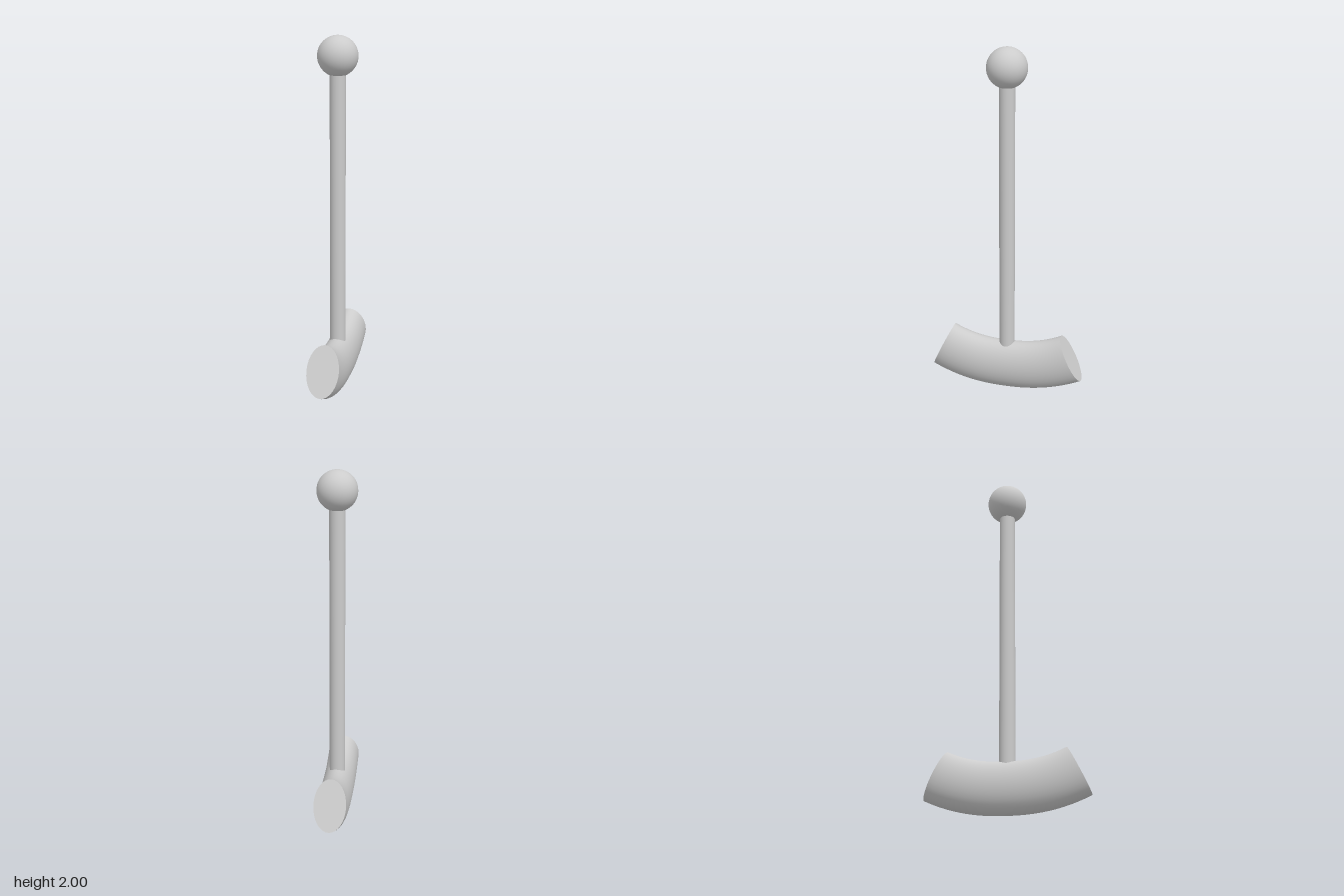
import * as THREE from 'three';
import { toCreasedNormals } from 'three/addons/utils/BufferGeometryUtils.js';

const HALF = 0.38, RISE = 0.08, POWER = 2.3; // shape of the head's centre line

// Oval bar along z whose cross-sections follow an upward-curving centre line
function curvedHead() {
  const geo = new THREE.CylinderGeometry(1, 1, 2, 32, 24).rotateX(Math.PI / 2);
  const p = geo.attributes.position;
  for (let i = 0; i < p.count; i++) {
    const t = p.getZ(i), a = Math.abs(t);
    const y = 0.146 + RISE * a ** POWER;
    const slope = Math.atan(Math.sign(t) * RISE * POWER * a ** (POWER - 1) / HALF);
    const r = p.getY(i) * 0.145;
    p.setXYZ(i, p.getX(i) * 0.09, y + r * Math.cos(slope), t * HALF - r * Math.sin(slope));
  }
  return toCreasedNormals(geo, 0.7);
}

export function createModel() {
  const group = new THREE.Group();
  const material = new THREE.MeshStandardMaterial({ color: 0xcccccc });
  const add = (name, geometry, y = 0) => {
    const mesh = new THREE.Mesh(geometry, material);
    mesh.name = name;
    mesh.position.y = y;
    group.add(mesh);
  };

  add('head', curvedHead());
  // Shaft runs from inside the head into the ball
  add('shaft', new THREE.CylinderGeometry(0.044, 0.044, 1.6, 32), 1.05);
  add('knob', new THREE.SphereGeometry(0.112, 32, 24), 1.888);
  return group;
}
